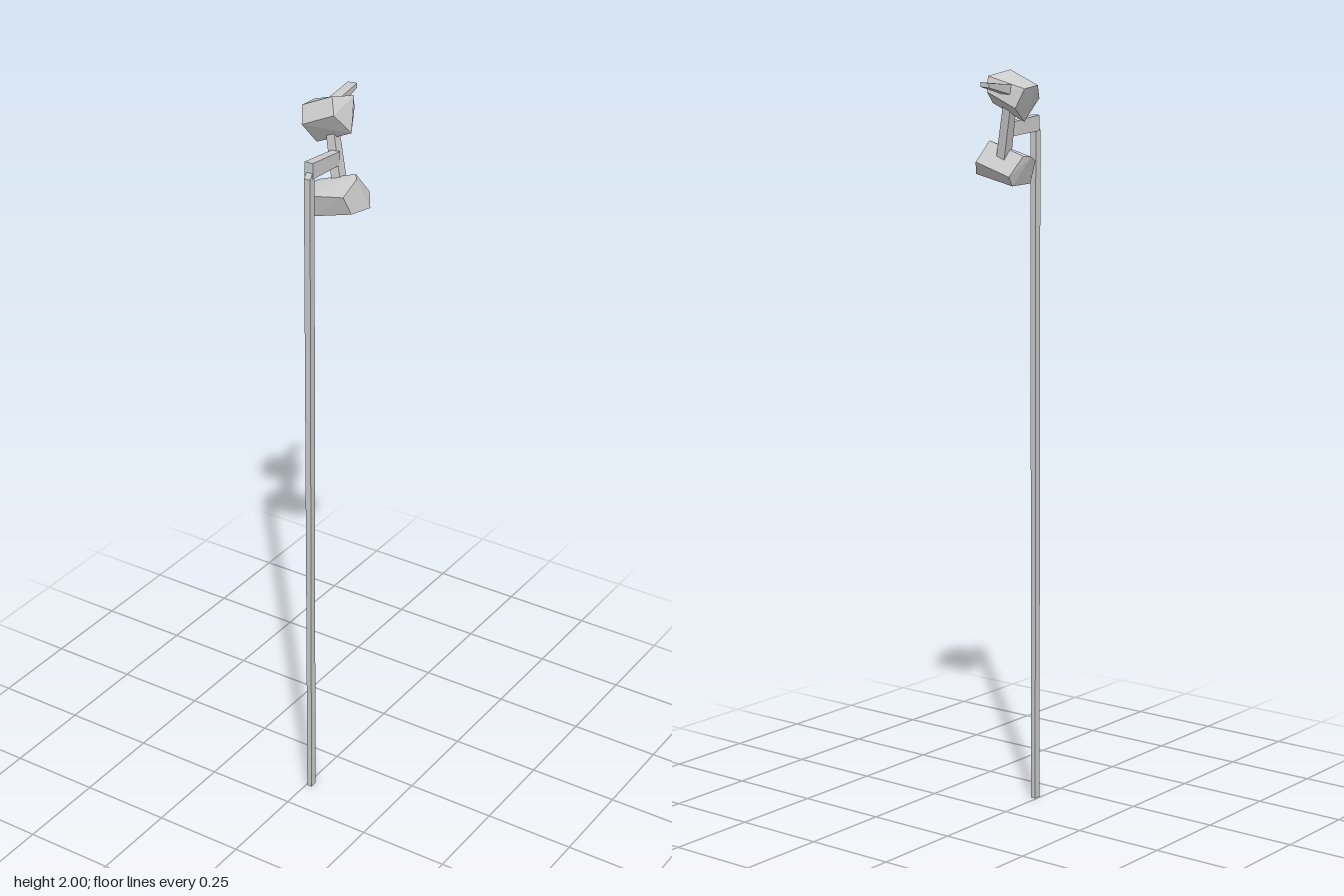
import * as THREE from 'three';
import { ConvexGeometry } from 'three/addons/geometries/ConvexGeometry.js';

const material = new THREE.MeshStandardMaterial({ color: 0xcccccc, flatShading: true });

// faceted solid spanned by its end outlines
function hull(name, ...outlines) {
  const points = outlines.flat().map(p => new THREE.Vector3(...p));
  const mesh = new THREE.Mesh(new ConvexGeometry(points), material);
  mesh.name = name;
  return mesh;
}

// rectangle around a centre; u and v are half-extent vectors
function rect(c, u, v) {
  return [[-1, -1], [1, -1], [1, 1], [-1, 1]].map(([a, b]) =>
    c.map((n, i) => n + a * u[i] + b * v[i]));
}

export function createModel() {
  const group = new THREE.Group();

  // long upright pole with a bevelled top
  group.add(hull('pole',
    rect([0.01, 0, 0.147], [0.007, 0, 0], [0, 0, 0.010]),
    rect([0.015, 1.85, 0.147], [0.009, 0, 0], [0, 0.012, -0.010])));

  // short arm from the pole top to the stem
  group.add(hull('arm',
    rect([0.013, 1.857, 0.146], [0.012, 0, 0], [0, 0.021, 0]),
    rect([0.008, 1.845, 0.015], [0.011, 0, 0], [0, 0.018, 0])));

  // slanted stem between the two blocks
  group.add(hull('stem',
    rect([0.022, 1.77, 0.02], [0.013, 0.003, 0], [0, 0.002, 0.015]),
    rect([-0.015, 1.91, -0.002], [0.012, 0.003, 0], [0, 0.002, 0.013])));

  // upper block: left and right five-sided ends
  group.add(hull('upperBlock',
    [[-0.10, 1.955, -0.05], [-0.093, 1.962, 0.015], [-0.07, 1.927, 0.052],
      [-0.057, 1.868, 0.005], [-0.08, 1.905, -0.063]],
    [[0.012, 1.985, -0.058], [-0.008, 2.0, 0.01], [0.02, 1.967, 0.045],
      [0.045, 1.913, 0.004], [0.006, 1.945, -0.07]]));

  // lower block: left and right six-sided ends
  group.add(hull('lowerBlock',
    [[-0.04, 1.778, 0.023], [-0.047, 1.775, 0.05], [-0.025, 1.762, 0.095],
      [-0.02, 1.703, 0.08], [-0.016, 1.70, 0.008], [-0.02, 1.725, -0.012]],
    [[0.067, 1.815, 0.018], [0.079, 1.808, 0.033], [0.075, 1.778, 0.087],
      [0.088, 1.73, 0.07], [0.102, 1.727, 0.005], [0.085, 1.76, -0.018]]));

  // tapered rear handle
  group.add(hull('rearSpike',
    rect([-0.045, 1.95, -0.04], [0.014, 0, 0], [0, 0.014, 0]),
    rect([-0.056, 1.967, -0.157], [0.014, 0.001, 0], [0, 0.006, 0])));

  return group;
}
